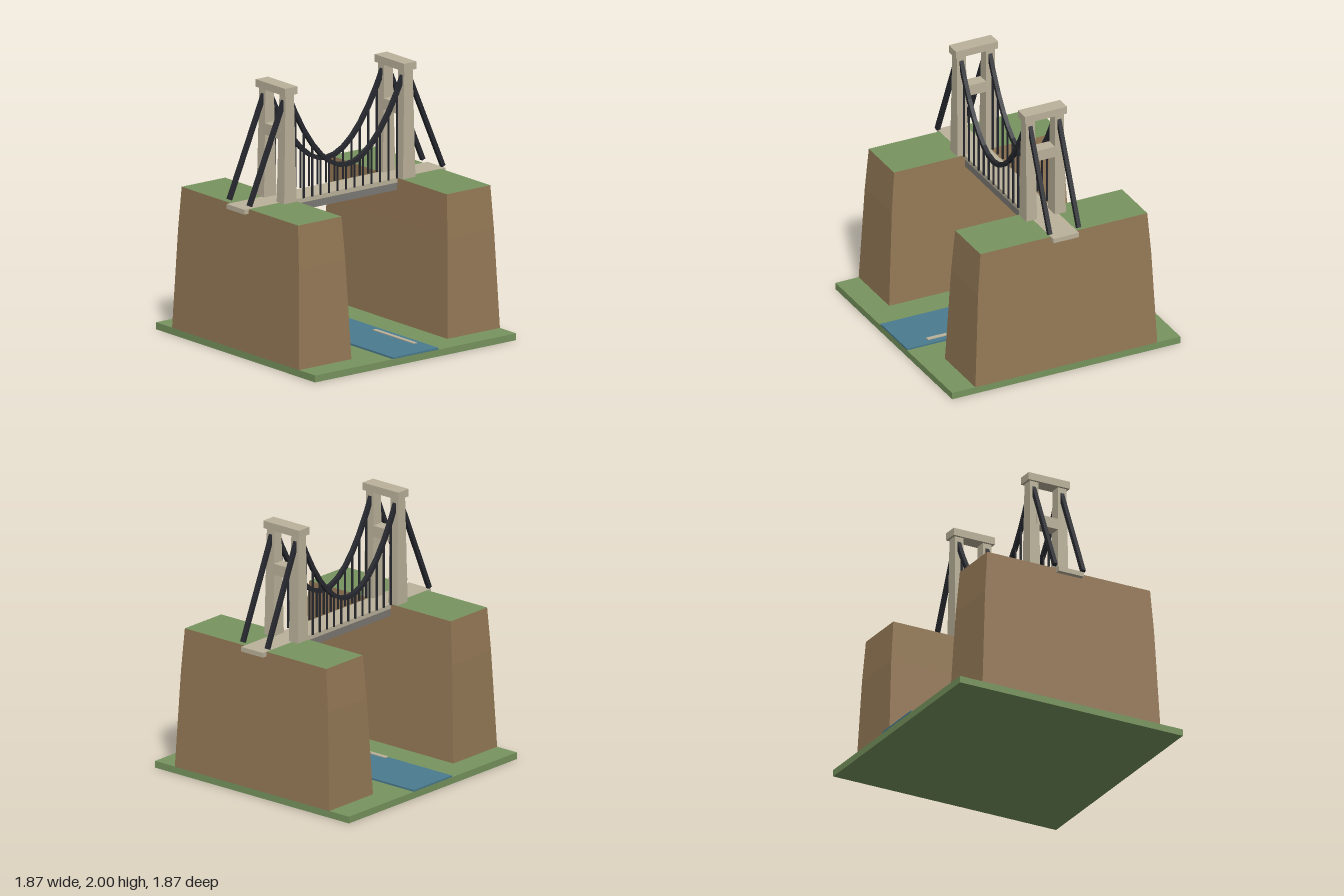
import * as THREE from 'three';

function material(name, color) {
  const m = new THREE.MeshStandardMaterial({ color });
  m.name = name;
  return m;
}

export function createModel() {
  const model = new THREE.Group();
  model.name = 'suspensionBridge';

  const grass = material('grass green', 0x78955f);
  const rock = material('cliff brown', 0x957956);
  const stone = material('pale stone', 0xbbb29b);
  const water = material('river blue', 0x4a7c8f);
  const iron = material('dark iron', 0x27292f);
  const steel = material('girder grey', 0x7d7a75);

  const add = (name, geometry, mat, parent = model) => {
    const mesh = new THREE.Mesh(geometry, mat);
    mesh.name = name;
    parent.add(mesh);
    return mesh;
  };

  // Box given by its extents
  const box = (name, mat, x0, x1, y0, y1, z0, z1, parent) => {
    const mesh = add(name, new THREE.BoxGeometry(x1 - x0, y1 - y0, z1 - z0), mat, parent);
    mesh.position.set((x0 + x1) / 2, (y0 + y1) / 2, (z0 + z1) / 2);
  };

  // Box lofted through levels [y, x0, x1, z0, z1]
  const loft = (levels) => {
    const n = levels.length - 1;
    const base = new THREE.BoxGeometry(1, 1, 1, 1, n, 1);
    const geo = base.toNonIndexed();
    const p = geo.attributes.position;
    for (let i = 0; i < p.count; i++) {
      const [y, x0, x1, z0, z1] = levels[Math.round((p.getY(i) + 0.5) * n)];
      p.setXYZ(i, p.getX(i) > 0 ? x1 : x0, y, p.getZ(i) > 0 ? z1 : z0);
    }
    geo.clearGroups();
    for (const g of base.groups) geo.addGroup(g.start, g.count, g.materialIndex);
    geo.computeVertexNormals();
    return geo;
  };

  // Square bar between two points of one upright plane
  const bar = (name, [ax, ay], [bx, by], width, parent) => {
    const length = Math.hypot(bx - ax, by - ay);
    const mesh = add(name, new THREE.BoxGeometry(length, width, width), iron, parent);
    mesh.position.set((ax + bx) / 2, (ay + by) / 2, 0);
    mesh.rotation.z = Math.atan2(by - ay, bx - ax);
  };

  // Ground, river and pale streaks on the water
  box('ground', grass, -0.935, 0.935, 0, 0.052, -0.935, 0.935);
  box('river', water, -0.212, 0.212, 0.052, 0.066, -0.935, 0.935);
  box('riverStreak', stone, -0.212, -0.18, 0.066, 0.072, -0.32, 0.12);
  box('riverStreak', stone, 0.135, 0.167, 0.066, 0.072, 0.26, 0.74);

  // Deck and the girder under the span
  const deckY = 1.126;
  box('deck', stone, -0.935, 0.935, 1.09, deckY, -0.105, 0.105);
  box('girder', steel, -0.49, 0.49, 1.035, 1.09, -0.104, 0.104);

  const towerX = 0.553, cableZ = 0.118, cableWidth = 0.031;
  const cableY = (x) => 1.315 + 2.09 * x * x;

  for (const s of [-1, 1]) {
    // Tapered cliff with a grassy top
    const level = (y, inner, outer, z) =>
      [y, Math.min(s * inner, s * outer), Math.max(s * inner, s * outer), -z, z];
    add('cliff', loft([
      level(0.052, 0.447, 0.935, 0.745),
      level(0.8, 0.476, 0.908, 0.709),
      level(1.125, 0.49, 0.895, 0.683),
    ]), [rock, rock, grass, rock, rock, rock]);

    // Tower: two tapered legs, crossbar and cap
    const tower = new THREE.Group();
    tower.name = 'tower';
    tower.position.x = s * towerX;
    model.add(tower);
    for (const t of [-1, 1]) {
      const z = t * cableZ;
      add('towerLeg', loft([
        [1.125, -0.058, 0.058, z - 0.044, z + 0.044],
        [1.945, -0.039, 0.039, z - 0.036, z + 0.036],
      ]), stone, tower);
    }
    box('towerCrossbar', stone, -0.047, 0.047, 1.6, 1.685, -0.1, 0.1, tower);
    box('towerCap', stone, -0.057, 0.057, 1.943, 2, -0.173, 0.173, tower);
  }

  // Cables and hangers on both sides of the deck
  for (const t of [-1, 1]) {
    const side = new THREE.Group();
    side.name = 'cableSide';
    side.position.z = t * cableZ;
    model.add(side);
    const step = towerX / 7;
    for (let i = -7; i < 7; i++) {
      const x = i * step;
      bar('mainCable', [x, cableY(x)], [x + step, cableY(x + step)], cableWidth, side);
      if (i > -7) bar('hanger', [x, deckY], [x, cableY(x)], 0.012, side);
    }
    for (const s of [-1, 1]) {
      bar('backstay', [s * towerX, 1.956], [s * 0.9, 1.15], cableWidth, side);
    }
  }

  return model;
}
